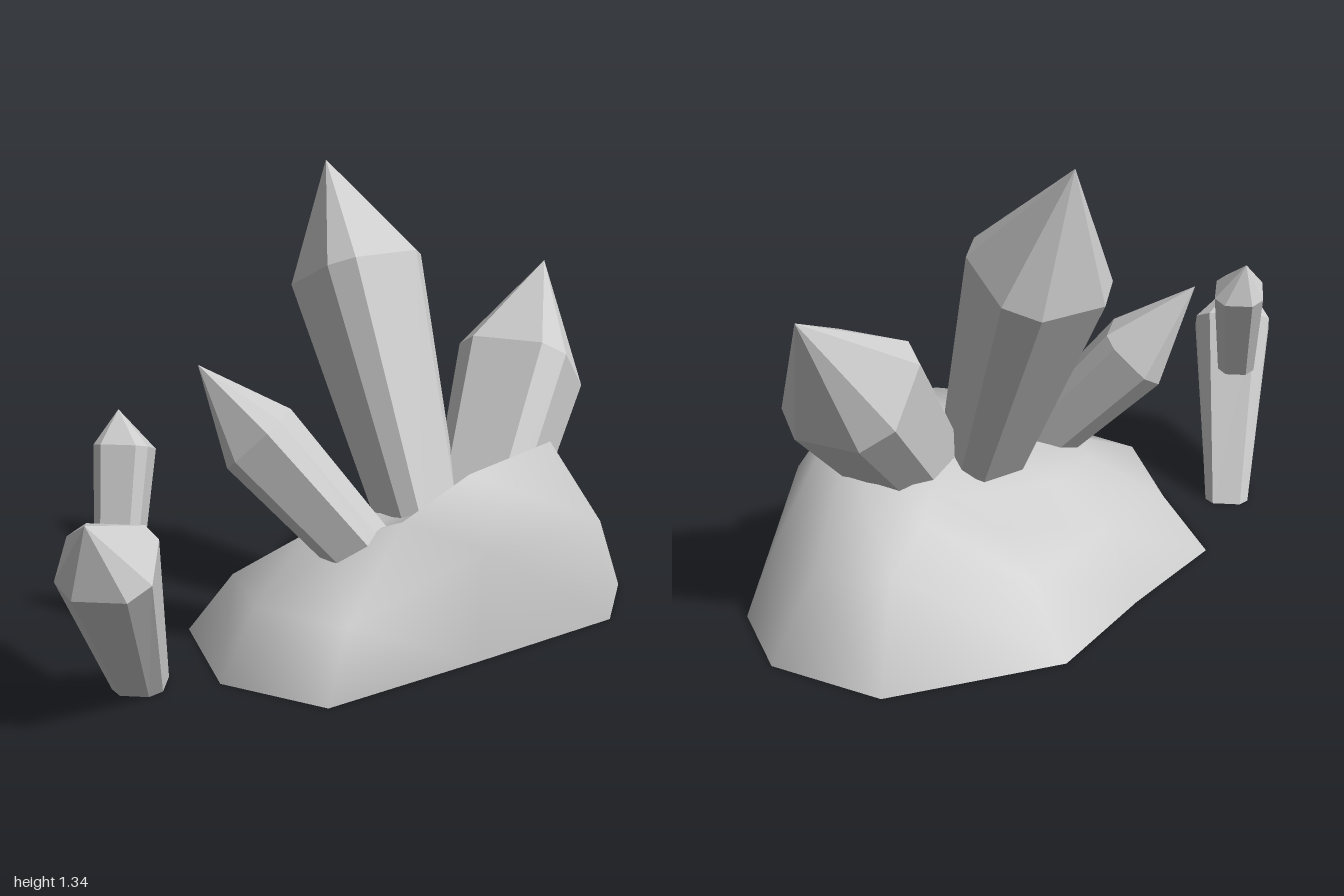
import * as THREE from 'three';

const V = (p) => new THREE.Vector3(...p);

// Builds a mesh from corner points and a list of triangles
function meshFrom(name, points, faces, options) {
  const geometry = new THREE.BufferGeometry().setFromPoints(points);
  geometry.setIndex(faces);
  geometry.computeVertexNormals();
  const mesh = new THREE.Mesh(geometry, new THREE.MeshStandardMaterial({ color: 0xcccccc, ...options }));
  mesh.name = name;
  return mesh;
}

// Uneven eight-sided section, measured from the crystal's upper side
const angles = [33, 58, 118, 150, 210, 242, 302, 327].map(THREE.MathUtils.degToRad);

// Crystal: a shaft that widens from base to shoulder, closed by a point
function crystal(name, base, shoulder, tip, rBase, rShoulder, onGround = false) {
  const b = V(base), s = V(shoulder);
  const axis = s.clone().sub(b).normalize();
  const u = new THREE.Vector3(0, 1, 0).addScaledVector(axis, -axis.y).normalize();
  const w = axis.clone().cross(u);
  const ring = (c, r) => angles.map((t) =>
    c.clone().addScaledVector(u, r * Math.cos(t)).addScaledVector(w, r * Math.sin(t)));
  const low = ring(b, rBase);
  // Cut the foot level with the ground
  if (onGround) low.forEach((p) => p.addScaledVector(axis, -p.y / axis.y));
  const n = angles.length, faces = [];
  const points = [...low, ...ring(s, rShoulder), V(tip), b];
  for (let i = 0; i < n; i++) {
    const j = (i + 1) % n;
    faces.push(i, j, n + j, i, n + j, n + i);
    faces.push(n + i, n + j, 2 * n);
    faces.push(j, i, 2 * n + 1);
  }
  return meshFrom(name, points, faces, { flatShading: true });
}

// Rock mound: loops from the ground up to the front ridge, then a lower plateau behind it
function rockMound() {
  const loops = [
    [[-0.49, 0, 0.16], [-0.36, 0, -0.22], [0, 0, -0.33], [0.35, 0, -0.465], [0.84, 0, -0.31],
      [1, 0, 0], [0.94, 0, 0.27], [0.71, 0, 0.46], [0.18, 0, 0.465], [-0.34, 0, 0.46]],
    [[-0.37, 0.2, 0.16], [-0.26, 0.18, -0.13], [0.02, 0.2, -0.22], [0.35, 0.19, -0.32], [0.72, 0.25, -0.17],
      [0.86, 0.22, 0], [0.84, 0.22, 0.25], [0.66, 0.32, 0.45], [0.2, 0.33, 0.46], [-0.27, 0.2, 0.44]],
    [[-0.12, 0.31, 0.16], [-0.08, 0.31, 0], [0.08, 0.31, -0.06], [0.33, 0.25, -0.13], [0.56, 0.34, -0.09],
      [0.66, 0.39, 0.06], [0.65, 0.42, 0.2], [0.57, 0.55, 0.32], [0.25, 0.51, 0.33], [0, 0.42, 0.34]],
    [[0.02, 0.34, 0.16], [0.03, 0.34, 0.08], [0.13, 0.34, 0.01], [0.31, 0.31, -0.02], [0.5, 0.39, -0.04],
      [0.56, 0.41, 0.08], [0.56, 0.41, 0.18], [0.5, 0.42, 0.24], [0.25, 0.41, 0.24], [0.08, 0.37, 0.24]],
  ];
  const n = 10, top = loops.length - 1, faces = [];
  const points = [...loops.flat().map(V), V([0.3, 0.4, 0.13])];
  for (let i = 0; i < n; i++) {
    const j = (i + 1) % n;
    for (let k = 0; k < top; k++) {
      const l = k * n, h = l + n;
      faces.push(l + i, h + i, h + j, l + i, h + j, l + j);
    }
    faces.push(top * n + i, loops.length * n, top * n + j);
  }
  return meshFrom('rockMound', points, faces, { side: THREE.DoubleSide });
}

export function createModel() {
  const model = new THREE.Group();
  model.name = 'crystalCluster';
  model.add(rockMound());

  // Crystals growing out of the rock
  model.add(crystal('tallCrystal', [0.22, 0.29, 0.16], [0.23, 1.025, -0.185], [0.23, 1.34, -0.34], 0.12, 0.2));
  model.add(crystal('leftCrystal', [0.23, 0.11, 0.31], [0.68, 0.715, 0.06], [0.9, 1, -0.08], 0.125, 0.2));
  model.add(crystal('rightCrystal', [0.03, 0.2, 0.28], [-0.24, 0.62, -0.01], [-0.37, 0.83, -0.12], 0.09, 0.125));

  // Separate pair standing beside the rock
  model.add(crystal('outerCrystal', [-0.665, 0, 0.03], [-0.88, 0.475, 0.27], [-0.97, 0.605, 0.33], 0.08, 0.14, true));
  model.add(crystal('outerShoot', [-0.775, 0.4, 0.13], [-0.702, 0.69, 0.05], [-0.7, 0.785, 0.02], 0.065, 0.085));

  // Round plate under the hollow rock
  const plate = new THREE.Mesh(
    new THREE.CircleGeometry(0.19, 20).rotateX(Math.PI / 2).translate(0.18, 0.002, 0.06),
    new THREE.MeshStandardMaterial({ color: 0xcccccc, side: THREE.DoubleSide }));
  plate.name = 'basePlate';
  model.add(plate);
  return model;
}
